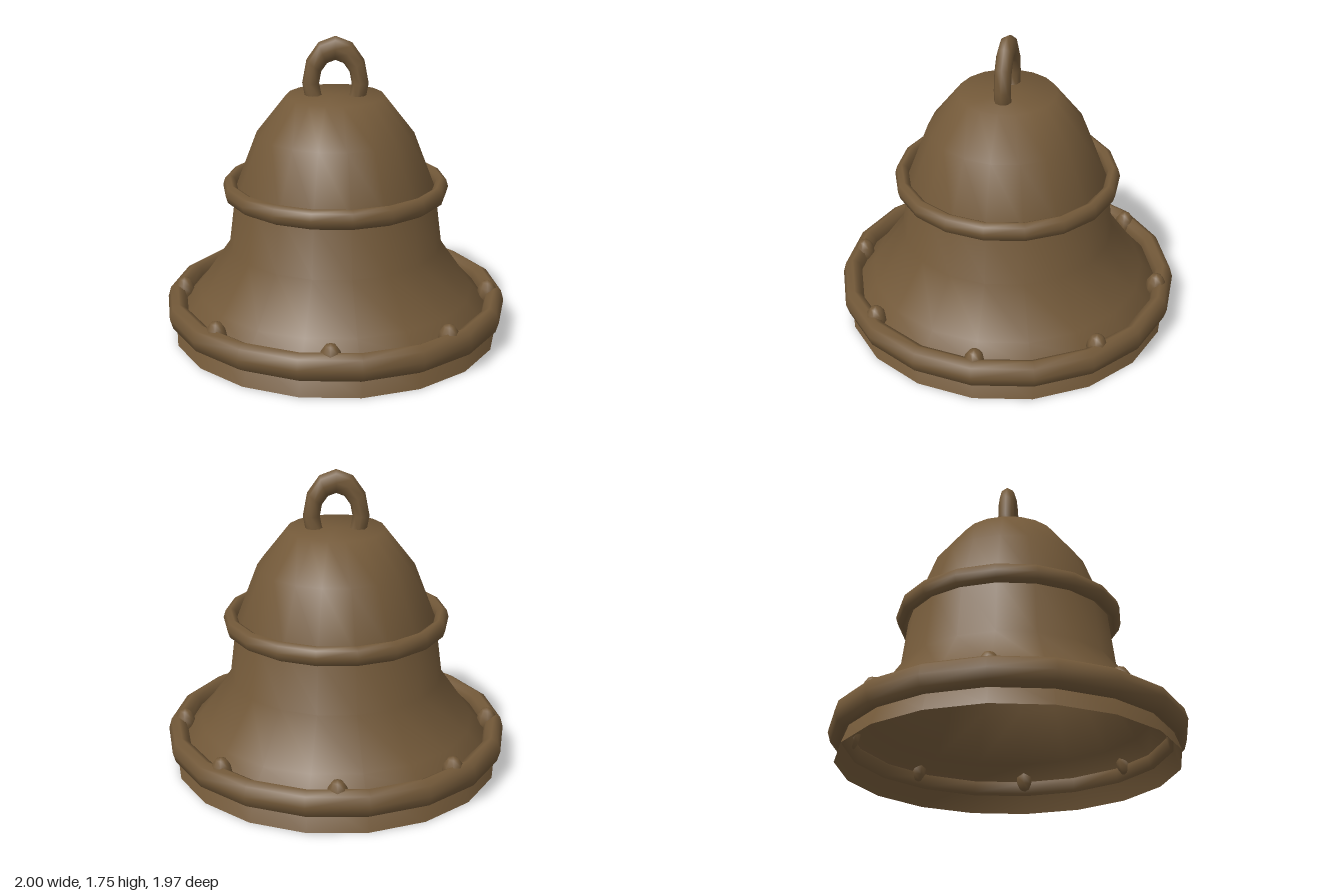
import * as THREE from 'three';

const SIDES = 18;
const STRETCH = 1.43; // rings, studs and loop are taller than they are wide

export function createModel() {
  const bell = new THREE.Group();
  bell.name = 'bell';
  const bronze = new THREE.MeshStandardMaterial({ color: 0x735939, side: THREE.DoubleSide });
  bronze.name = 'bronze';

  const add = (name, geometry, x, y, z) => {
    const mesh = new THREE.Mesh(geometry, bronze);
    mesh.name = name;
    mesh.position.set(x, y, z);
    mesh.scale.y = STRETCH;
    bell.add(mesh);
    return mesh;
  };

  // Open, flared shell with a flat crown
  const profile = [
    [0.957, 0], [0.89, 0.18], [0.805, 0.27], [0.62, 0.535],
    [0.577, 0.87], [0.45, 1.2], [0.28, 1.415], [0, 1.415],
  ].map(([r, y]) => new THREE.Vector2(r, y));
  add('shell', new THREE.LatheGeometry(profile, SIDES, Math.PI / 2), 0, 0, 0).scale.y = 1;

  // Raised bands around the lip and the waist
  const band = (name, radius, tube, y) =>
    add(name, new THREE.TorusGeometry(radius, tube, 8, SIDES).rotateX(Math.PI / 2), 0, y, 0);
  band('lipBand', 0.942, 0.058, 0.172);
  band('waistBand', 0.612, 0.04, 0.878);

  // Eight studs spaced around the lip
  const studGeometry = new THREE.SphereGeometry(0.06, 8, 6);
  for (let i = 0; i < 8; i++) {
    const a = (i * Math.PI) / 4;
    add('stud', studGeometry, 0.9 * Math.cos(a), 0.21, 0.9 * Math.sin(a));
  }

  // Hanging loop, its lower part sunk into the crown
  add('hangingLoop', new THREE.TorusGeometry(0.14, 0.048, 8, 12), 0, 1.485, 0);

  return bell;
}
